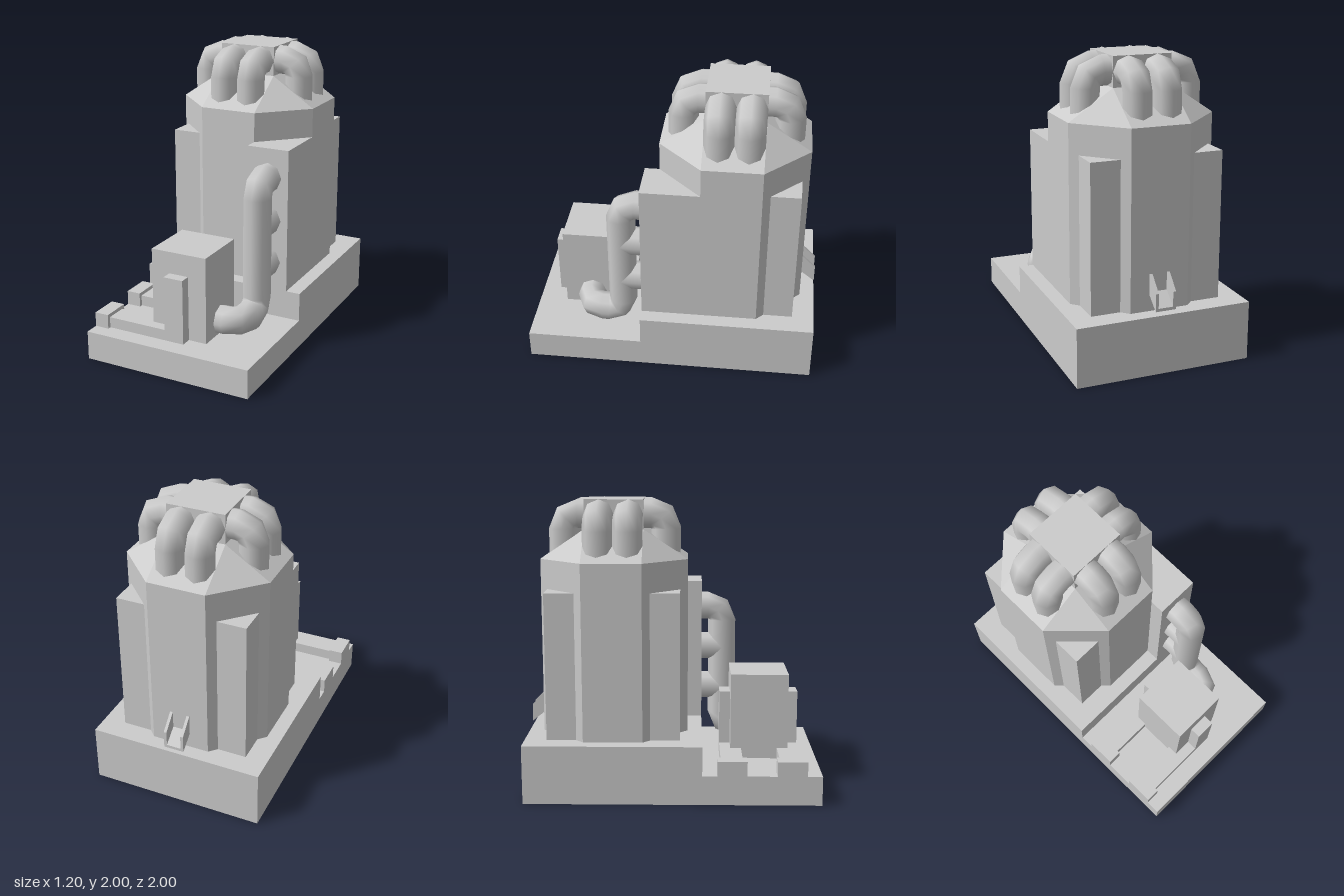
import * as THREE from 'three';
import { ConvexGeometry } from 'three/addons/geometries/ConvexGeometry.js';

const material = new THREE.MeshStandardMaterial({ color: 0xcccccc });
const R = 0.1; // pipe radius, also the bend radius
const AXIS = -0.4; // z of the tower's centre

function add(parent, name, geometry) {
  const mesh = new THREE.Mesh(geometry, material);
  mesh.name = name;
  parent.add(mesh);
  return mesh;
}

// Box from its lower and upper corners
function box(parent, name, [x0, y0, z0], [x1, y1, z1]) {
  const mesh = add(parent, name, new THREE.BoxGeometry(x1 - x0, y1 - y0, z1 - z0));
  mesh.position.set((x0 + x1) / 2, (y0 + y1) / 2, (z0 + z1) / 2);
  return mesh;
}

// Side profile of [z, y] points extruded from x0 to x1
function sideProfile(parent, name, points, x0, x1, hole) {
  const toVectors = (list) => list.map(([z, y]) => new THREE.Vector2(-z, y));
  const shape = new THREE.Shape(toVectors(points));
  if (hole) shape.holes.push(new THREE.Path(toVectors(hole)));
  const geometry = new THREE.ExtrudeGeometry(shape, { depth: x1 - x0, bevelEnabled: false });
  geometry.rotateY(Math.PI / 2).translate(x0, 0, 0);
  return add(parent, name, geometry);
}

// Straight eight-sided pipe between two points
function pipe(parent, name, from, to) {
  const a = new THREE.Vector3(...from), b = new THREE.Vector3(...to);
  const mesh = add(parent, name, new THREE.CylinderGeometry(R, R, a.distanceTo(b), 8));
  mesh.position.copy(a).add(b).multiplyScalar(0.5);
  mesh.quaternion.setFromUnitVectors(new THREE.Vector3(0, 1, 0), b.sub(a).normalize());
  return mesh;
}

// Quarter bend around a centre; unrotated it runs from +x to +y
function elbow(parent, name, centre, rotation = [0, 0, 0]) {
  const mesh = add(parent, name, new THREE.TorusGeometry(R, R, 8, 2, Math.PI / 2));
  mesh.position.set(...centre);
  mesh.rotation.set(...rotation);
  return mesh;
}

function group(parent, name) {
  const g = new THREE.Group();
  g.name = name;
  parent.add(g);
  return g;
}

export function createModel() {
  const model = new THREE.Group();
  model.name = 'industrialTower';

  // Stepped base with a shallow recess in its left side
  const base = group(model, 'base');
  const step = [[1, 0], [1, 0.2], [0.2, 0.2], [0.2, 0.4], [-1, 0.4], [-1, 0]];
  const recess = [[-0.2, 0.1], [-0.2, 0.3], [-0.6, 0.3], [-0.6, 0.1]];
  sideProfile(base, 'baseBlock', step, -0.6, 0.55);
  sideProfile(base, 'baseRecessedSide', step, 0.55, 0.6, recess);

  // Octagonal tower with a roof tapering to a square
  const octagon = [[0.2, 0.5], [0.5, 0.2], [0.5, -0.2], [0.2, -0.5],
    [-0.2, -0.5], [-0.5, -0.2], [-0.5, 0.2], [-0.2, 0.5]];
  const points = [];
  for (const [x, z] of octagon) {
    for (const y of [0.4, 1.6]) points.push(new THREE.Vector3(x, y, AXIS + z));
  }
  for (const x of [-0.2, 0.2]) {
    for (const z of [-0.2, 0.2]) points.push(new THREE.Vector3(x, 1.8, AXIS + z));
  }
  add(model, 'tower', new ConvexGeometry(points));
  box(model, 'pipeHub', [-0.2, 1.8, -0.6], [0.2, 2, -0.2]);

  // Corner blocks against the diagonal walls
  box(model, 'largeCornerBlock', [0.2, 0.4, -0.2], [0.5, 1.4, 0.2]);
  for (const [x, z] of [[-0.35, -0.05], [-0.35, -0.75], [0.35, -0.75]]) {
    box(model, 'cornerPillar', [x - 0.1, 0.4, z - 0.1], [x + 0.1, 1.4, z + 0.1]);
  }

  // Two bent roof pipes on each side of the hub
  for (let i = 0; i < 4; i++) {
    const side = group(model, 'roofPipes');
    side.position.z = AXIS;
    side.rotation.y = i * Math.PI / 2;
    for (const z of [-0.1, 0.1]) {
      pipe(side, 'roofPipeInlet', [0.15, 1.9, z], [0.25, 1.9, z]);
      elbow(side, 'roofPipeBend', [0.25, 1.8, z]);
      pipe(side, 'roofPipeDrop', [0.35, 1.6, z], [0.35, 1.8, z]);
    }
  }

  // Front box with two L-shaped ducts and their end blocks
  box(model, 'frontBox', [-0.2, 0.2, 0.4], [0.2, 0.8, 0.8]);
  for (const z of [0.4, 0.8]) {
    box(model, 'ductUpright', [-0.07, 0.2, z - 0.075], [0.07, 0.65, z + 0.075]);
    box(model, 'ductRun', [-0.5, 0.2, z - 0.075], [-0.07, 0.275, z + 0.075]);
    box(model, 'ductEndBlock', [-0.6, 0.2, z - 0.1], [-0.5, 0.3, z + 0.1]);
  }

  // Main pipe from the large corner block down to the front box
  const main = group(model, 'mainPipe');
  pipe(main, 'mainPipeTop', [0.35, 1.2, 0.15], [0.35, 1.2, 0.25]);
  elbow(main, 'mainPipeTopBend', [0.35, 1.1, 0.25], [0, -Math.PI / 2, 0]);
  pipe(main, 'mainPipeRiser', [0.35, 0.4, 0.35], [0.35, 1.1, 0.35]);
  elbow(main, 'mainPipeLowerBend', [0.35, 0.4, 0.45], [0, -Math.PI / 2, Math.PI]);
  pipe(main, 'mainPipeFoot', [0.35, 0.3, 0.45], [0.35, 0.3, 0.5]);
  elbow(main, 'mainPipeFootBend', [0.25, 0.3, 0.5], [Math.PI / 2, 0, 0]);
  pipe(main, 'mainPipeEnd', [0.15, 0.3, 0.6], [0.25, 0.3, 0.6]);
  for (const y of [0.6, 0.9]) pipe(main, 'mainPipeBranch', [0.35, y, 0.15], [0.35, y, 0.35]);

  // Sloping open chute at the back
  const chute = group(model, 'chute');
  const wall = [[-0.9, 0.51], [-0.9, 0.65], [-1, 0.55], [-1, 0.43]];
  const floor = [[-0.9, 0.51], [-0.9, 0.53], [-1, 0.45], [-1, 0.43]];
  sideProfile(chute, 'chuteWall', wall, -0.07, -0.05);
  sideProfile(chute, 'chuteWall', wall, 0.05, 0.07);
  sideProfile(chute, 'chuteFloor', floor, -0.05, 0.05);

  return model;
}
